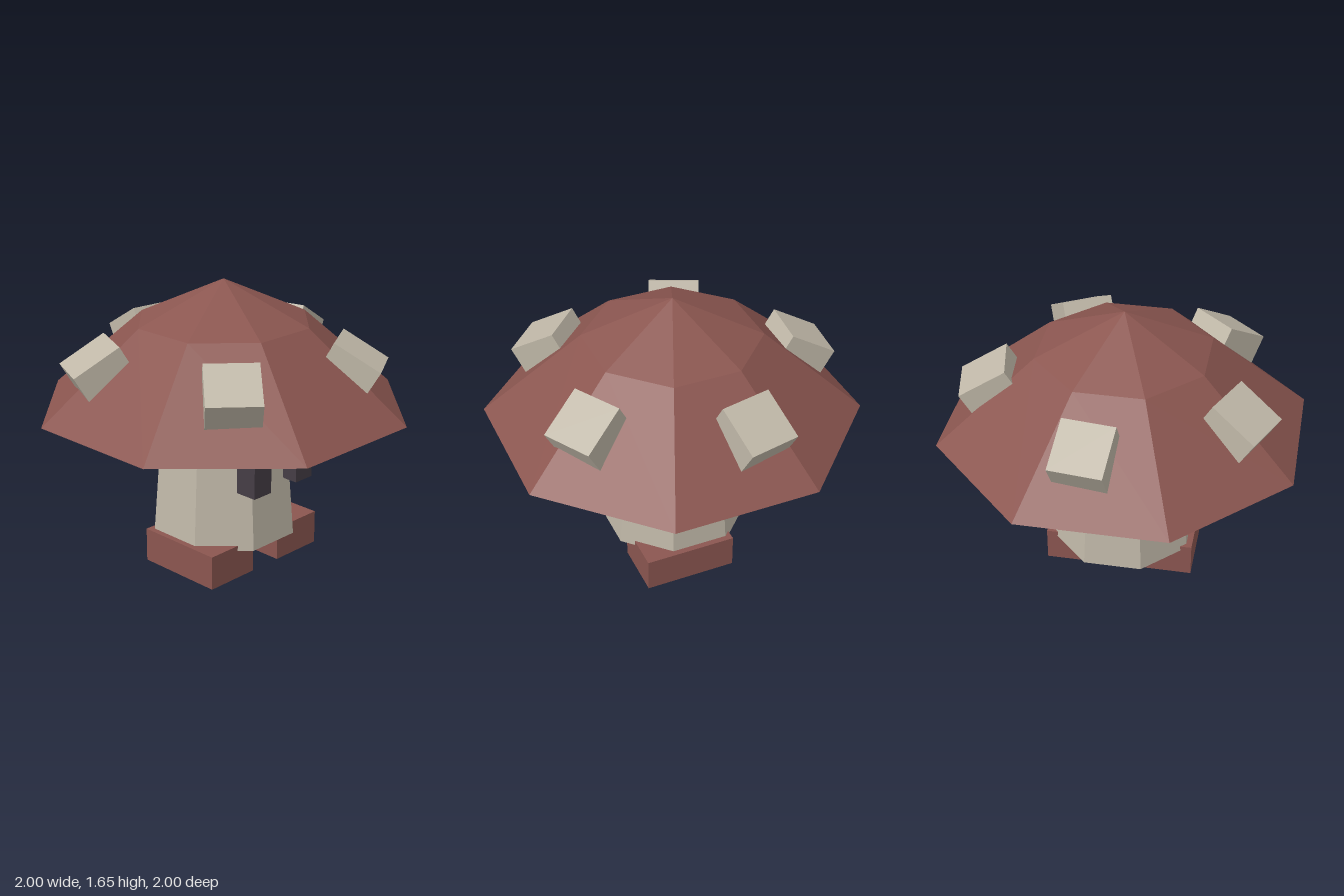
import * as THREE from 'three';

const red = new THREE.MeshStandardMaterial({ color: 0x8b5650 });
red.name = 'capRed';
const beige = new THREE.MeshStandardMaterial({ color: 0xc0b8a8 });
beige.name = 'stemBeige';
const dark = new THREE.MeshStandardMaterial({ color: 0x453d45 });
dark.name = 'eyeDark';

const SIDES = 8;
const toCorner = 1 / Math.cos(Math.PI / SIDES); // flat-to-flat radius -> corner radius

// Faceted octagonal solid turned from a [radius to flat, height] profile, a flat facing +z
function octagon(name, profile, material) {
  const points = profile.map(([r, y]) => new THREE.Vector2(r * toCorner, y));
  const geometry = new THREE.LatheGeometry(points, SIDES, Math.PI / SIDES).toNonIndexed();
  geometry.computeVertexNormals();
  const mesh = new THREE.Mesh(geometry, material);
  mesh.name = name;
  return mesh;
}

function box(name, size, position, material) {
  const mesh = new THREE.Mesh(new THREE.BoxGeometry(...size), material);
  mesh.name = name;
  mesh.position.set(...position);
  return mesh;
}

export function createModel() {
  const model = new THREE.Group();
  model.name = 'mushroom';

  // Cap with a shallower crown and a flat underside
  model.add(octagon('cap', [[0, 0.92], [1, 0.92], [0.47, 1.42], [0, 1.655]], red));

  // Tapered stem, running a little way into the cap
  model.add(octagon('stem', [[0, 0.17], [0.405, 0.17], [0.345, 0.96], [0, 0.96]], beige));

  // Feet and eyes, mirrored
  for (const [side, s] of [['left', 1], ['right', -1]]) {
    model.add(box(side + 'Foot', [0.335, 0.2, 0.54], [s * 0.27, 0.1, 0.07], red));
    model.add(box(side + 'Eye', [0.135, 0.235, 0.135], [s * 0.172, 0.647, 0.407], dark));
  }

  // Five block spots spaced around the cap, tilted outwards
  for (let i = 0; i < 5; i++) {
    const spot = new THREE.Group();
    spot.name = 'spot' + (i + 1);
    spot.rotation.y = THREE.MathUtils.degToRad(30 + i * 72);
    const block = box('spotBlock', [0.3, 0.18, 0.3], [0, 1.217, 0.745], beige);
    block.rotation.x = Math.PI / 6;
    spot.add(block);
    model.add(spot);
  }

  return model;
}
